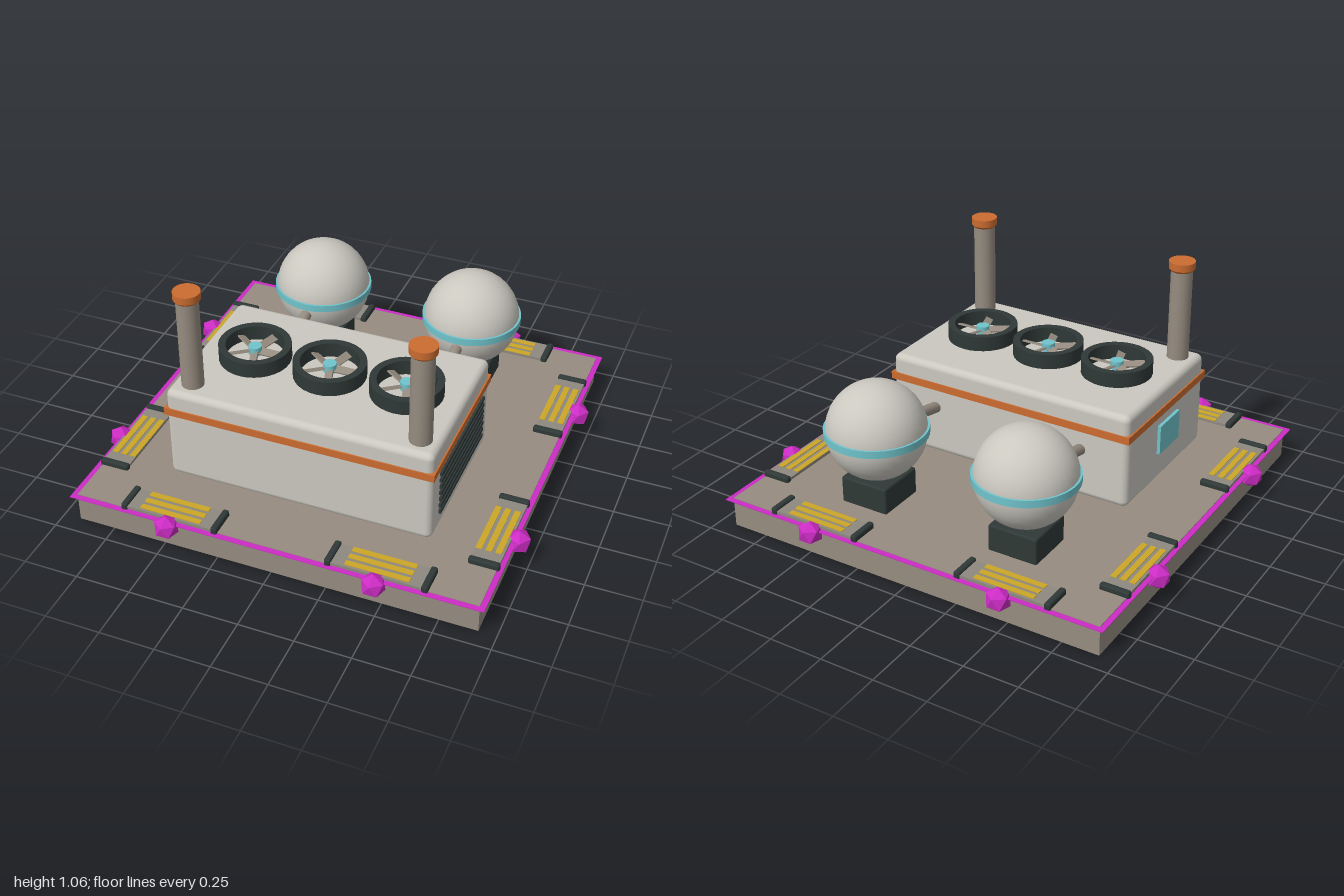
import * as THREE from 'three';
import { RoundedBoxGeometry } from 'three/addons/geometries/RoundedBoxGeometry.js';

const mat = (name, color, extra = {}) => {
  const m = new THREE.MeshStandardMaterial({ color, ...extra });
  m.name = name;
  return m;
};

export function createModel() {
  const tan = mat('warm grey metal', 0x968c80);
  const padGrey = mat('pad grey', 0x8e8880);
  const light = mat('light panel', 0xcbc8c0);
  const dark = mat('dark rubber', 0x2f3937);
  const orange = mat('orange trim', 0xcb6c30);
  const teal = mat('teal accent', 0x70c4cc);
  const magenta = mat('magenta marker', 0xcc2cc4, { flatShading: true });
  const yellow = mat('hazard yellow', 0xcba628);
  const darkOpen = mat('dark rubber', 0x2f3937);

  const model = new THREE.Group();
  model.name = 'coolingPlant';
  const add = (parent, name, geo, material, x = 0, y = 0, z = 0) => {
    const m = new THREE.Mesh(geo, material);
    m.name = name;
    m.position.set(x, y, z);
    parent.add(m);
    return m;
  };
  const box = (w, h, d) => new THREE.BoxGeometry(w, h, d);
  const group = (name, x = 0, y = 0, z = 0) => {
    const g = new THREE.Group();
    g.name = name;
    g.position.set(x, y, z);
    model.add(g);
    return g;
  };

  // Base slab with a thin boundary sheet around its upper edge
  add(model, 'baseSlab', box(1.84, 0.14, 1.84), tan, 0, 0.07, 0);
  add(model, 'boundarySheet', box(1.89, 0.003, 1.89), magenta, 0, 0.135, 0);

  // Connection pads and markers: two along each of the four sides
  const gemGeo = new THREE.IcosahedronGeometry(0.057, 0);
  gemGeo.rotateX(-Math.atan((1 + Math.sqrt(5)) / 2)); // one corner straight up
  const bumperGeo = new RoundedBoxGeometry(0.03, 0.045, 0.137, 2, 0.01);
  for (let side = 0; side < 4; side++) {
    const edge = group('edgeConnectors');
    edge.rotation.y = side * Math.PI / 2;
    for (const x of [-0.473, 0.473]) {
      add(edge, 'pad', box(0.4, 0.014, 0.125), padGrey, x, 0.146, 0.862);
      for (const i of [-1, 0, 1])
        add(edge, 'padStripe', box(0.285, 0.004, 0.027), yellow, x, 0.154, 0.857 + i * 0.043);
      for (const s of [-1, 1])
        add(edge, 'padBumper', bumperGeo, dark, x + s * 0.213, 0.143, 0.862);
      add(edge, 'marker', gemGeo, magenta, x, 0.122, 0.948);
    }
  }

  // Main housing with trim band
  const housing = group('housing', 0, 0, 0.26);
  add(housing, 'housingBody', new RoundedBoxGeometry(1.22, 0.45, 0.748, 3, 0.03), light, 0, 0.365, 0);
  add(housing, 'trimBand', box(1.234, 0.035, 0.76), orange, 0, 0.483, 0);

  // Side louvres and the access panel opposite
  for (let i = 0; i < 7; i++)
    add(housing, 'louvre', box(0.03, 0.018, 0.57), dark, 0.606, 0.232 + i * 0.034, 0);
  add(housing, 'accessPanel', box(0.03, 0.14, 0.19), teal, -0.61, 0.35, 0.01);

  // Roof fans: open ring, five pitched blades and a hub
  const ringGeo = new THREE.LatheGeometry(
    [[0.13, 0], [0.162, 0], [0.162, 0], [0.162, 0.072], [0.162, 0.072], [0.13, 0.072], [0.13, 0.072], [0.13, 0]]
      .map(([r, y]) => new THREE.Vector2(r, y)), 32);
  darkOpen.side = THREE.DoubleSide;
  for (const x of [-0.355, 0, 0.355]) {
    const fan = group('fan', x, 0.588, 0.257);
    add(fan, 'fanRing', ringGeo, darkOpen);
    add(fan, 'fanHub', new THREE.CylinderGeometry(0.03, 0.03, 0.04, 16), teal, 0, 0.04, 0);
    for (let i = 0; i < 5; i++) {
      const arm = new THREE.Group();
      arm.name = 'fanBlade';
      arm.rotation.y = i * Math.PI * 2 / 5;
      fan.add(arm);
      add(arm, 'blade', box(0.105, 0.008, 0.036), tan, 0.075, 0.036, 0).rotation.x = 0.4;
    }
  }

  for (const s of [-1, 1]) {
    // Exhaust stacks
    const stack = group('exhaustStack', s * 0.52, 0, 0.54);
    add(stack, 'stackPipe', new THREE.CylinderGeometry(0.05, 0.05, 0.46, 20), tan, 0, 0.8, 0);
    add(stack, 'stackCap', new THREE.CylinderGeometry(0.06, 0.06, 0.034, 20), orange, 0, 1.045, 0);
    add(stack, 'stackCapLip', new THREE.CylinderGeometry(0.06, 0.052, 0.01, 20), orange, 0, 1.023, 0);

    // Spherical tanks on plinths
    const tank = group('tank', s * 0.378, 0, -0.57);
    add(tank, 'tankSphere', new THREE.SphereGeometry(0.224, 32, 20), light, 0, 0.476, 0);
    add(tank, 'tankBand', new THREE.CylinderGeometry(0.232, 0.232, 0.034, 40), teal, 0, 0.477, 0);
    add(tank, 'tankPlinth', new RoundedBoxGeometry(0.235, 0.13, 0.235, 2, 0.01), dark, 0, 0.197, 0);

    // Feed pipe from tank to housing
    const a = new THREE.Vector3(s * 0.378, 0.376, -0.113);
    const b = new THREE.Vector3(s * 0.378, 0.447, -0.45);
    const pipe = add(model, 'feedPipe', new THREE.CylinderGeometry(0.026, 0.026, a.distanceTo(b), 14), tan);
    pipe.position.copy(a).lerp(b, 0.5);
    pipe.quaternion.setFromUnitVectors(new THREE.Vector3(0, 1, 0), b.clone().sub(a).normalize());
  }
  return model;
}
